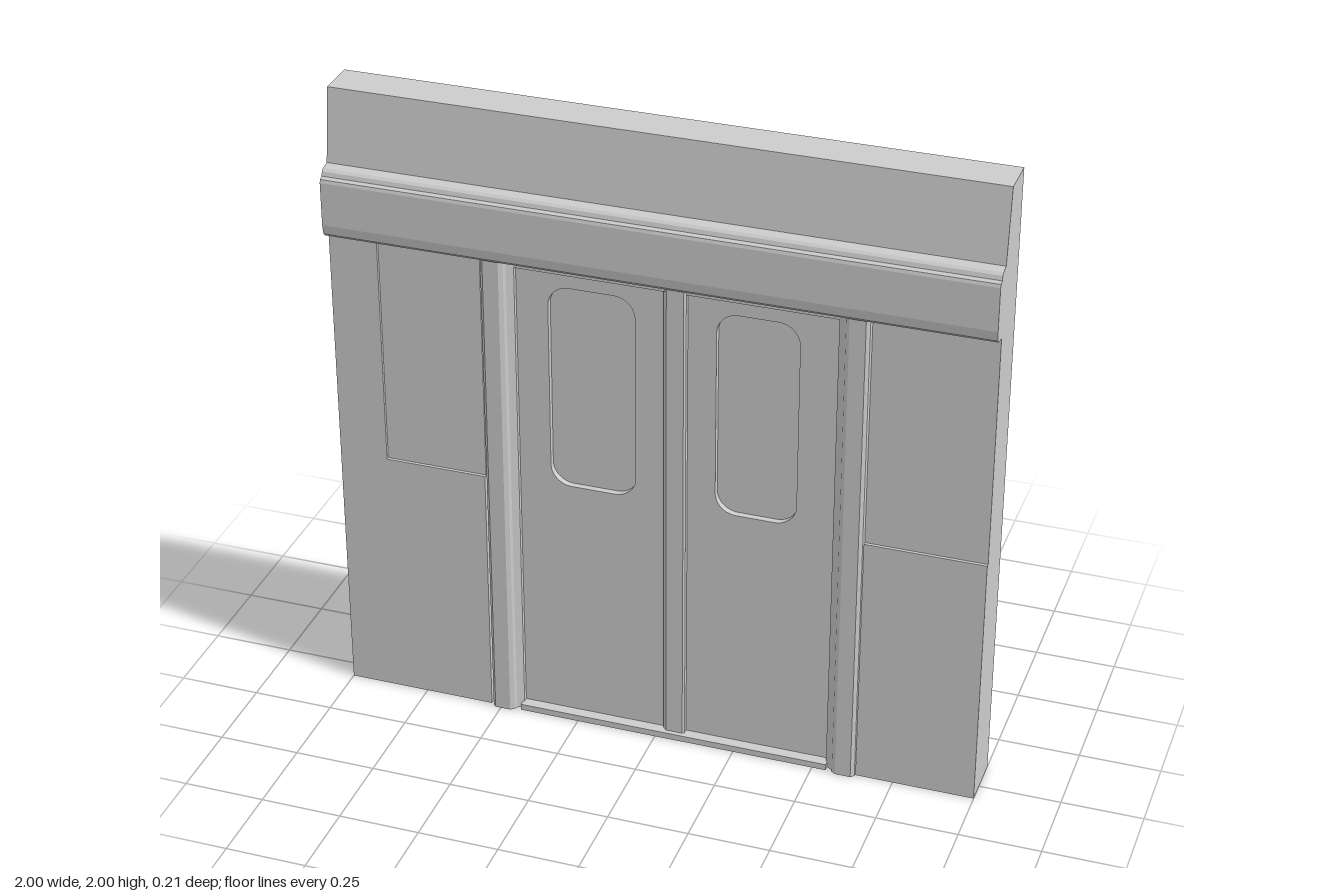
import * as THREE from 'three';

const BACK = -0.105, CORE = 0.015, WALL = 0.065, DOOR = 0.035;

export function createModel() {
  const root = new THREE.Group();
  root.name = 'wallWithDoubleDoor';
  const mat = new THREE.MeshStandardMaterial({ color: 0xcccccc });

  const add = (name, geo, parent = root) => {
    const mesh = new THREE.Mesh(geo, mat);
    mesh.name = name;
    parent.add(mesh);
    return mesh;
  };
  // box given by its limits on each axis
  const block = (name, x0, x1, y0, y1, z0, z1, parent) =>
    add(name, new THREE.BoxGeometry(x1 - x0, y1 - y0, z1 - z0)
      .translate((x0 + x1) / 2, (y0 + y1) / 2, (z0 + z1) / 2), parent);
  // closed [a, b] outline
  const outline = (pts) => new THREE.Shape(pts.map(([a, b]) => new THREE.Vector2(a, b)));
  // side profile of [z, y] points swept over the full width
  const sweepX = (name, pts) =>
    add(name, new THREE.ExtrudeGeometry(outline(pts), { depth: 2, bevelEnabled: false })
      .rotateY(-Math.PI / 2).translate(1, 0, 0));
  // plan profile of [x, z] points raised from y0 to y1
  const riseY = (name, pts, y0, y1, parent) =>
    add(name, new THREE.ExtrudeGeometry(outline(pts.map(([x, z]) => [x, -z])),
      { depth: y1 - y0, bevelEnabled: false }).rotateX(-Math.PI / 2).translate(0, y0, 0), parent);
  const roundedRect = (x0, x1, y0, y1, r) => {
    const p = new THREE.Path();
    p.absarc(x1 - r, y0 + r, r, -Math.PI / 2, 0);
    p.absarc(x1 - r, y1 - r, r, 0, Math.PI / 2);
    p.absarc(x0 + r, y1 - r, r, Math.PI / 2, Math.PI);
    p.absarc(x0 + r, y0 + r, r, Math.PI, Math.PI * 1.5);
    p.closePath();
    return p;
  };

  // solid back and header with a sloping fascia and a rounded lintel
  sweepX('wallCoreAndHeader', [
    [BACK, 0], [CORE, 0], [CORE, 1.555], [0.075, 1.555], [0.09, 1.56], [0.1, 1.57],
    [0.105, 1.6], [0.105, 1.735], [0.102, 1.745], [0.09, 1.75], [0.086, 1.763],
    [0.078, 1.77], [0.05, 1.775], [0.02, 2], [BACK, 2],
  ]);

  // wall panels beside the doorway
  block('leftWallLowerPanel', 0.635, 1, 0, 0.82, CORE, WALL);
  block('leftWallUpperPanel', 0.635, 1, 0.82, 1.556, CORE, WALL - 0.01);
  block('rightWallPilaster', -1, -0.85, 0, 1.556, CORE, WALL);
  block('rightWallLowerPanel', -0.85, -0.535, 0, 0.82, CORE, WALL);
  block('rightWallUpperPanel', -0.85, -0.535, 0.82, 1.556, CORE, WALL - 0.01);

  // stepped door jambs, one on each side of the doorway centre
  const doorway = new THREE.Group();
  doorway.name = 'doorway';
  doorway.position.x = 0.053;
  root.add(doorway);
  for (const s of [1, -1]) {
    const pts = [[0.485, CORE], [0.485, 0.05], [0.505, 0.062], [0.51, 0.072], [0.522, 0.08],
      [0.57, 0.08], [0.58, 0.07], [0.585, CORE]].map(([x, z]) => [s * x, z]);
    riseY(s > 0 ? 'leftJamb' : 'rightJamb', pts, 0, 1.556, doorway);
  }

  // threshold and head of the doorway
  block('threshold', -0.49, 0.49, 0, 0.02, CORE, 0.07, doorway);
  block('doorHead', -0.49, 0.49, 1.53, 1.556, CORE, 0.05, doorway);

  // post where the two leaves meet
  riseY('meetingPost', [[-0.035, CORE], [-0.035, 0.042], [-0.022, 0.055], [0.03, 0.055],
    [0.036, 0.05], [0.036, CORE]], 0.02, 1.54, doorway);

  // door leaves with recessed rounded windows
  for (const [name, x0, x1, w0, w1] of [
    ['rightDoorLeaf', -0.432, 0.02, -0.335, -0.07],
    ['leftDoorLeaf', 0.087, 0.54, 0.175, 0.422],
  ]) {
    const leaf = outline([[x0, 0.015], [x1, 0.015], [x1, 1.54], [x0, 1.54]]);
    leaf.holes.push(roundedRect(w0, w1, 0.82, 1.482, 0.065));
    add(name, new THREE.ExtrudeGeometry(leaf,
      { depth: DOOR - CORE, bevelEnabled: false, curveSegments: 8 }).translate(0, 0, CORE));
  }
  return root;
}
